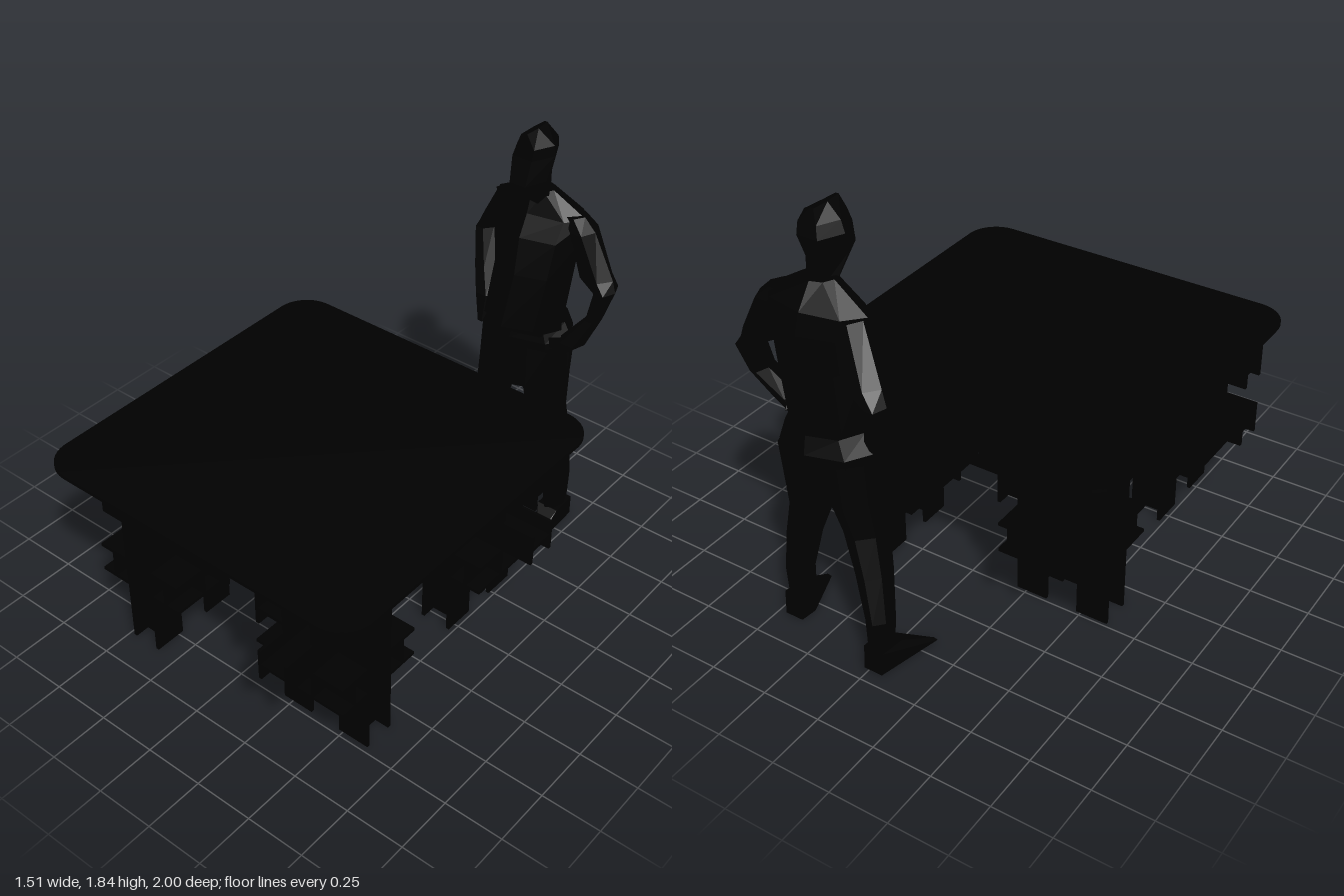
import * as THREE from 'three';
import { ConvexGeometry } from 'three/addons/geometries/ConvexGeometry.js';

const U = 0.1373, T = 0.1, CZ = 0.245; // panel module, plate thickness in modules, table centre z
const dark = new THREE.MeshStandardMaterial({ color: 0x000000 });
const skin = new THREE.MeshStandardMaterial({ color: 0x000000, flatShading: true });

function add(parent, name, geometry, material) {
  const m = new THREE.Mesh(geometry, material);
  m.name = name;
  parent.add(m);
  return m;
}

function group(parent, name) {
  const g = new THREE.Group();
  g.name = name;
  parent.add(g);
  return g;
}

const rect = (w, y0, y1) => [[-w, y0], [w, y0], [w, y1], [-w, y1]];

// thin plate in the local xy plane, drilled at height holeY if given
function plate(parent, name, outline, holeY = null) {
  const shape = new THREE.Shape(outline.map(p => new THREE.Vector2(...p)));
  if (holeY !== null) {
    const hole = new THREE.Path();
    hole.absarc(0, holeY, 0.18, 0, Math.PI * 2, true);
    shape.holes.push(hole);
  }
  const g = new THREE.ExtrudeGeometry(shape, { depth: T, bevelEnabled: false, curveSegments: 10 });
  return add(parent, name, g.translate(0, 0, -T / 2), dark);
}

// two matching plates one module apart
function facing(parent, outline, holeY) {
  for (const s of [-1, 1]) plate(parent, 'face', outline, holeY).position.z = s * (0.5 - T / 2);
}

// upright panel standing on two H-section feet
function uprightPanel(parent, name, outline, y0, y1, drillFaces, drillWebs) {
  const g = group(parent, name);
  g.rotation.y = Math.PI / 2;
  facing(g, outline, drillFaces ? 2.5 : null);
  for (const s of [-1, 1]) {
    const web = plate(g, 'web', rect(0.5 - T, y0, y1), drillWebs ? 2.5 : null);
    web.rotation.y = Math.PI / 2;
    web.position.x = s;
  }
}

// level H-shaped panel with notches for the uprights
function shelfPanel(parent, drillWebs, drillWalls) {
  const g = group(parent, 'shelfPanel');
  g.position.y = 2.5;
  const top = group(g, 'faces');
  top.rotation.x = Math.PI / 2;
  facing(top, [[-1.5, -1.5], [-0.5, -1.5], [-0.5, -0.5], [0.5, -0.5], [0.5, -1.5], [1.5, -1.5],
    [1.5, 1.5], [0.5, 1.5], [0.5, 0.5], [-0.5, 0.5], [-0.5, 1.5], [-1.5, 1.5]], null);
  for (const s of [-1, 1]) {
    const web = plate(g, 'web', rect(1.5, T - 0.5, 0.5 - T), drillWebs ? 0 : null);
    web.rotation.y = Math.PI / 2;
    web.position.x = s;
    plate(g, 'wall', rect(1.5, T - 0.5, 0.5 - T), drillWalls ? 0 : null).position.z = s * (0.5 - T / 2);
  }
}

// three interlocked panels; neighbours are turned a quarter
function makeCluster(parent, x, z) {
  const g = group(parent, 'legCluster');
  const turned = x * z > 0;
  g.position.set(x, 0, z);
  if (turned) g.rotation.y = Math.PI / 2;
  uprightPanel(g, 'legPanel', [[-1.5, 0], [-0.5, 0], [-0.5, 1], [0.5, 1], [0.5, 0], [1.5, 0],
    [1.5, 6], [0.5, 6], [0.5, 3], [-0.5, 3], [-0.5, 6], [-1.5, 6]], 0, 6, !turned, turned);
  shelfPanel(g, !turned, turned);

  const cross = group(g, 'crossPanel');
  facing(cross, [[-2.5, 3], [2.5, 3], [2.5, 4], [1.5, 4], [1.5, 5], [2.5, 5],
    [2.5, 6], [-2.5, 6], [-2.5, 5], [-1.5, 5], [-1.5, 4], [-2.5, 4]], null);
  for (const y of [3.5, 5.5])
    add(cross, 'web', new THREE.BoxGeometry(5, T, 1 - 2 * T), dark).position.y = y;
}

function makeTable(parent) {
  const table = group(parent, 'table');
  table.position.z = CZ;

  // thin rounded top
  const r = 0.755, c = 0.14, s = new THREE.Shape();
  s.absarc(r - c, r - c, c, 0, Math.PI / 2);
  s.absarc(c - r, r - c, c, Math.PI / 2, Math.PI);
  s.absarc(c - r, c - r, c, Math.PI, Math.PI * 1.5);
  s.absarc(r - c, c - r, c, Math.PI * 1.5, Math.PI * 2);
  const top = new THREE.ExtrudeGeometry(s, { depth: 0.014, bevelEnabled: false, curveSegments: 12 });
  add(table, 'tableTop', top.rotateX(-Math.PI / 2), dark).position.y = 6 * U;

  const base = group(table, 'base');
  base.scale.setScalar(U);
  for (const x of [-3, 3]) for (const z of [-3, 3]) makeCluster(base, x, z);

  // smaller cluster hanging in the middle
  const centre = group(base, 'centreCluster');
  uprightPanel(centre, 'centrePanel', [[-1.5, 1], [-0.5, 1], [-0.5, 2], [0.5, 2], [0.5, 1], [1.5, 1],
    [1.5, 4], [0.5, 4], [0.5, 3], [-0.5, 3], [-0.5, 4], [-1.5, 4]], 1, 4, true, false);
  shelfPanel(centre, true, false);
}

// Closed faceted loft through level rings [x, y, z, rx, rz], bottom to top
function loft(rings, n = 8) {
  const pos = [], idx = [];
  for (const [x, y, z, rx, rz] of rings)
    for (let j = 0; j < n; j++) {
      const a = (j / n) * Math.PI * 2;
      pos.push(x + rx * Math.cos(a), y, z + rz * Math.sin(a));
    }
  for (let i = 0; i < rings.length - 1; i++)
    for (let j = 0; j < n; j++) {
      const a = i * n + j, b = i * n + (j + 1) % n;
      idx.push(a, a + n, b, b, a + n, b + n);
    }
  const top = (rings.length - 1) * n;
  for (let j = 1; j < n - 1; j++) idx.push(0, j, j + 1, top, top + j + 1, top + j);
  const g = new THREE.BufferGeometry();
  g.setAttribute('position', new THREE.Float32BufferAttribute(pos, 3));
  g.setIndex(idx);
  g.computeVertexNormals();
  return g;
}

const hull = points => new ConvexGeometry(points.map(p => new THREE.Vector3(...p)));

function makeFigure(parent) {
  const f = group(parent, 'standingFigure');

  // jacket, widest at the shoulders, with the front hem pushed forward
  add(f, 'jacket', loft([
    [0.21, 0.96, -0.815, 0.165, 0.13], [0.21, 1.02, -0.785, 0.168, 0.17],
    [0.23, 1.25, -0.805, 0.175, 0.15], [0.22, 1.4, -0.825, 0.2, 0.135],
    [0.215, 1.485, -0.84, 0.215, 0.1], [0.215, 1.575, -0.82, 0.065, 0.055]]), skin);
  add(f, 'hips', loft([
    [0.2, 0.68, -0.82, 0.13, 0.11], [0.205, 0.8, -0.825, 0.205, 0.14],
    [0.205, 0.93, -0.835, 0.205, 0.145], [0.21, 1.0, -0.83, 0.165, 0.13]]), skin);

  // faceted head
  add(f, 'head', loft([
    [0.22, 1.53, -0.805, 0.055, 0.05], [0.215, 1.645, -0.75, 0.072, 0.104],
    [0.207, 1.74, -0.785, 0.087, 0.108], [0.215, 1.785, -0.782, 0.077, 0.095],
    [0.205, 1.835, -0.778, 0.012, 0.077]], 6), skin);

  // legs
  add(f, 'rightLeg', loft([
    [-0.03, 0.04, -0.895, 0.045, 0.055], [-0.025, 0.24, -0.885, 0.05, 0.07],
    [0.02, 0.42, -0.85, 0.065, 0.085], [0.065, 0.58, -0.825, 0.078, 0.1],
    [0.095, 0.72, -0.825, 0.095, 0.125], [0.105, 0.9, -0.83, 0.1, 0.13]], 7), skin);
  add(f, 'leftLeg', loft([
    [0.42, 0.04, -0.8, 0.045, 0.06], [0.41, 0.24, -0.815, 0.05, 0.07],
    [0.38, 0.42, -0.81, 0.065, 0.08], [0.34, 0.58, -0.795, 0.08, 0.1],
    [0.315, 0.72, -0.81, 0.095, 0.12], [0.305, 0.9, -0.83, 0.1, 0.13]], 7), skin);

  // wedge shoes: heel block tapering to the toe
  for (const [name, hx, hz, tx, tz] of [['rightShoe', -0.025, -0.9, -0.11, -0.68], ['leftShoe', 0.42, -0.82, 0.465, -0.605]])
    add(f, name, hull([
      [hx - 0.04, 0.01, hz - 0.05], [hx + 0.04, 0.01, hz - 0.05],
      [hx - 0.045, 0.11, hz - 0.04], [hx + 0.045, 0.11, hz - 0.04],
      [hx - 0.05, 0.1, hz + 0.07], [hx + 0.045, 0.1, hz + 0.07],
      [hx - 0.04, 0, hz + 0.03], [hx + 0.04, 0, hz + 0.03],
      [tx - 0.02, 0.015, tz], [tx + 0.005, 0.015, tz], [tx - 0.01, 0.03, tz - 0.01]]), skin);

  // arms bent with hands at the hips
  add(f, 'rightArm', loft([
    [0.01, 0.89, -0.79, 0.02, 0.04], [-0.01, 1.0, -0.83, 0.05, 0.055],
    [-0.055, 1.1, -0.88, 0.045, 0.06], [-0.108, 1.235, -0.945, 0.036, 0.064],
    [-0.03, 1.29, -0.93, 0.085, 0.06], [0.06, 1.485, -0.865, 0.06, 0.06]], 6), skin);
  add(f, 'leftArm', loft([
    [0.42, 0.92, -0.75, 0.02, 0.045], [0.46, 0.985, -0.76, 0.055, 0.055],
    [0.525, 1.1, -0.805, 0.03, 0.06], [0.543, 1.22, -0.835, 0.043, 0.065],
    [0.49, 1.265, -0.84, 0.078, 0.065], [0.42, 1.45, -0.835, 0.052, 0.07],
    [0.37, 1.5, -0.835, 0.05, 0.05]], 6), skin);
  add(f, 'leftHand', hull([
    [0.37, 0.98, -0.72], [0.37, 0.92, -0.74], [0.43, 0.91, -0.76],
    [0.47, 0.96, -0.76], [0.45, 1.0, -0.74], [0.42, 0.95, -0.82]]), skin);
}

export function createModel() {
  const model = new THREE.Group();
  model.name = 'tableWithFigure';
  makeTable(model);
  makeFigure(model);
  return model;
}
